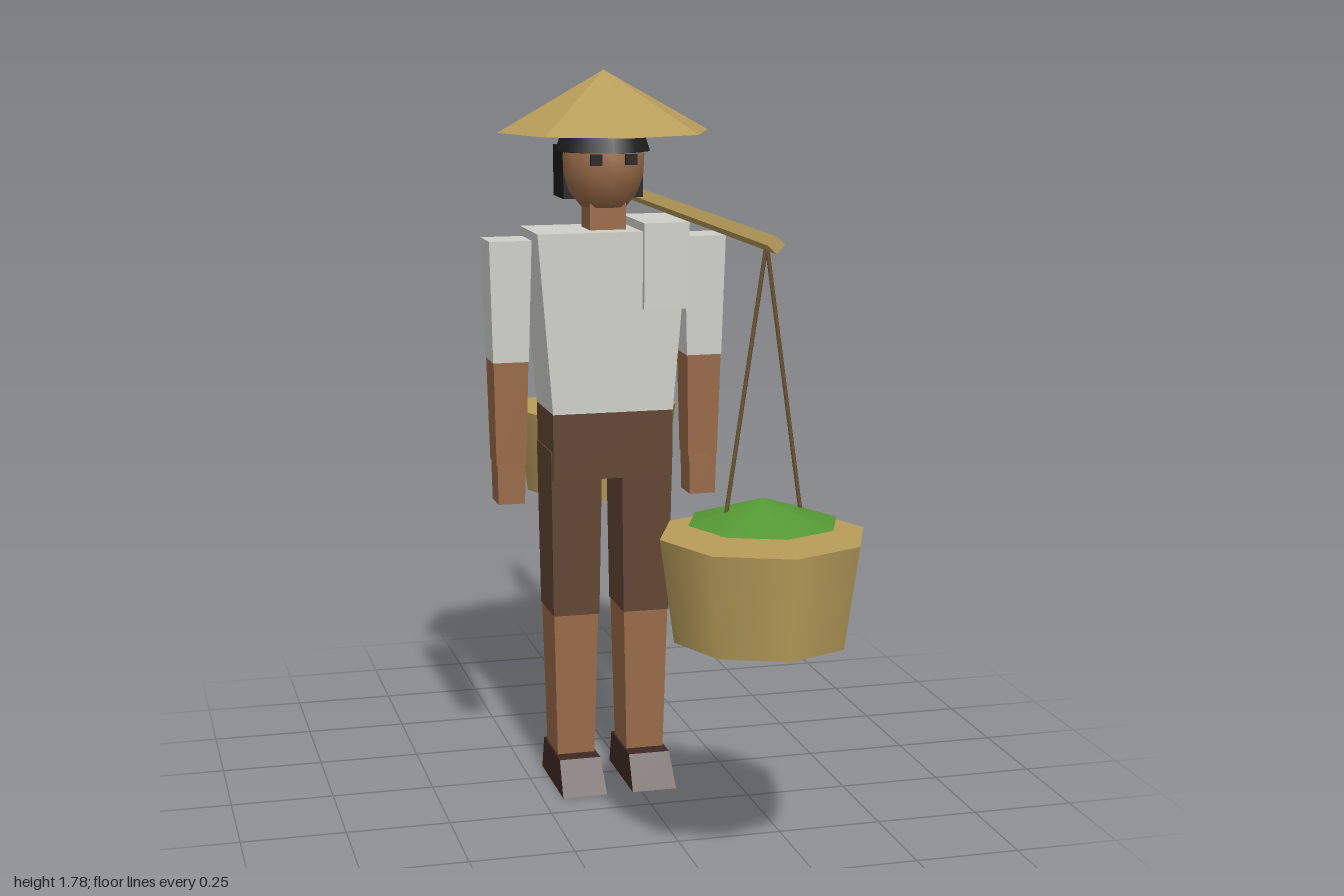
import * as THREE from 'three';

const mat = (name, color, extra = {}) => {
  const m = new THREE.MeshStandardMaterial({ color, ...extra });
  m.name = name;
  return m;
};

// Box whose top and bottom differ: [half width, back z, front z] at each level
function taperedBox(y0, y1, [w0, b0, f0], [w1, b1, f1]) {
  const g = new THREE.BoxGeometry(1, 1, 1).toNonIndexed();
  const p = g.attributes.position;
  for (let i = 0; i < p.count; i++) {
    const top = p.getY(i) > 0;
    const w = top ? w1 : w0;
    const z = p.getZ(i) > 0 ? (top ? f1 : f0) : (top ? b1 : b0);
    p.setXYZ(i, Math.sign(p.getX(i)) * w, top ? y1 : y0, z);
  }
  g.computeVertexNormals();
  return g;
}

export function createModel() {
  const root = new THREE.Group();
  root.name = 'basketCarrier';

  const straw = mat('straw', 0xb89d5a);
  const shirt = mat('shirt', 0xd0d0ca);
  const skin = mat('skin', 0x9a6a48);
  const shorts = mat('shorts', 0x614532);
  const shoe = mat('shoe', 0x3e2822);
  const hair = mat('hair', 0x1c1c1c);
  const rope = mat('rope', 0x6b5633);
  const greens = mat('greens', 0x559834);
  const oranges = mat('oranges', 0xdc8220);

  const add = (parent, name, geometry, material, x = 0, y = 0, z = 0) => {
    const m = new THREE.Mesh(geometry, material);
    m.name = name;
    m.position.set(x, y, z);
    parent.add(m);
    return m;
  };
  const box = (w, h, d) => new THREE.BoxGeometry(w, h, d);

  const person = new THREE.Group();
  person.name = 'person';
  person.position.x = -0.055;
  root.add(person);

  // Torso and hips
  add(person, 'torso', taperedBox(0.955, 1.395, [0.15, -0.092, 0.095], [0.187, -0.1, 0.1]), shirt);
  add(person, 'hips', taperedBox(0.79, 0.957, [0.15, -0.088, 0.092], [0.15, -0.09, 0.094]), shorts);
  add(person, 'neck', taperedBox(1.39, 1.5, [0.045, -0.045, 0.045], [0.045, -0.045, 0.045]), skin);

  // Limbs, mirrored
  for (const s of [-1, 1]) {
    const side = s > 0 ? 'left' : 'right';
    const arm = new THREE.Group();
    arm.name = side + 'Arm';
    arm.position.x = s * 0.243;
    person.add(arm);
    add(arm, 'sleeve', taperedBox(1.08, 1.375, [0.044, -0.048, 0.048], [0.052, -0.053, 0.053]), shirt);
    add(arm, 'forearm', taperedBox(0.825, 1.08, [0.037, -0.04, 0.04], [0.043, -0.047, 0.047]), skin);
    add(arm, 'hand', taperedBox(0.727, 0.825, [0.033, -0.036, 0.04], [0.035, -0.038, 0.042]), skin);

    const leg = new THREE.Group();
    leg.name = side + 'Leg';
    leg.position.x = s * 0.089;
    person.add(leg);
    add(leg, 'shortsLeg', taperedBox(0.443, 0.86, [0.058, -0.074, 0.074], [0.064, -0.082, 0.082]), shorts);
    add(leg, 'shin', taperedBox(0.07, 0.443, [0.047, -0.061, 0.061], [0.056, -0.07, 0.07]), skin);
    add(leg, 'shoe', taperedBox(0, 0.08, [0.056, -0.083, 0.16], [0.052, -0.077, 0.105]), shoe);
  }

  // Head, hair and eyes
  const head = new THREE.Group();
  head.name = 'head';
  person.add(head);
  const headProfile = [[0, 1.447], [0.056, 1.449], [0.086, 1.485], [0.1, 1.53], [0.102, 1.575], [0.09, 1.62], [0, 1.66]]
    .map(([x, y]) => new THREE.Vector2(x, y));
  add(head, 'face', new THREE.LatheGeometry(headProfile, 12), skin);
  const capProfile = [[0, 1.583], [0.118, 1.583], [0.118, 1.584], [0.1, 1.635], [0.06, 1.675], [0, 1.69]]
    .map(([x, y]) => new THREE.Vector2(x, y));
  add(head, 'hairCap', new THREE.LatheGeometry(capProfile, 12), hair, 0, 0, -0.011);
  add(head, 'backHair', box(0.2, 0.125, 0.11), hair, 0, 1.53, -0.057);
  for (const s of [-1, 1]) add(head, 'eye', box(0.028, 0.026, 0.009), hair, s * 0.043, 1.568, 0.101);

  // Eight-sided conical hat
  const hatMaterial = straw.clone();
  hatMaterial.flatShading = true;
  hatMaterial.name = 'facetedStraw';
  add(head, 'hat', new THREE.ConeGeometry(0.262, 0.147, 8), hatMaterial, 0, 1.703, 0);

  // Cloth folded over the carrying shoulder
  const cloth = new THREE.Group();
  cloth.name = 'shoulderCloth';
  cloth.position.x = 0.074;
  root.add(cloth);
  add(cloth, 'clothTop', box(0.113, 0.022, 0.226), shirt, 0, 1.405, 0);
  add(cloth, 'clothFront', box(0.113, 0.195, 0.018), shirt, 0, 1.3045, 0.104);
  add(cloth, 'clothBack', box(0.113, 0.13, 0.018), shirt, 0, 1.335, -0.104);

  // Carrying pole with a diamond section
  const yoke = new THREE.Group();
  yoke.name = 'yoke';
  yoke.position.x = 0.112;
  root.add(yoke);
  add(yoke, 'pole', new THREE.CylinderGeometry(0.019, 0.019, 1.672, 4), hatMaterial, 0, 1.443, 0)
    .rotation.x = Math.PI / 2;

  // Baskets with produce and two ropes each
  for (const s of [-1, 1]) {
    const load = new THREE.Group();
    load.name = s > 0 ? 'frontLoad' : 'backLoad';
    load.position.z = s * 0.767;
    yoke.add(load);
    add(load, 'basket', new THREE.CylinderGeometry(0.233, 0.2, 0.233, 8), straw, 0, 0.688, 0);
    add(load, 'produce', new THREE.ConeGeometry(0.169, 0.053, 8), s > 0 ? greens : oranges, 0, 0.858, 0);
    for (const t of [-1, 1]) {
      const path = new THREE.LineCurve3(new THREE.Vector3(0, 1.44, 0), new THREE.Vector3(t * 0.092, 0.803, 0));
      add(load, 'rope', new THREE.TubeGeometry(path, 1, 0.005, 5), rope);
    }
  }
  return root;
}
